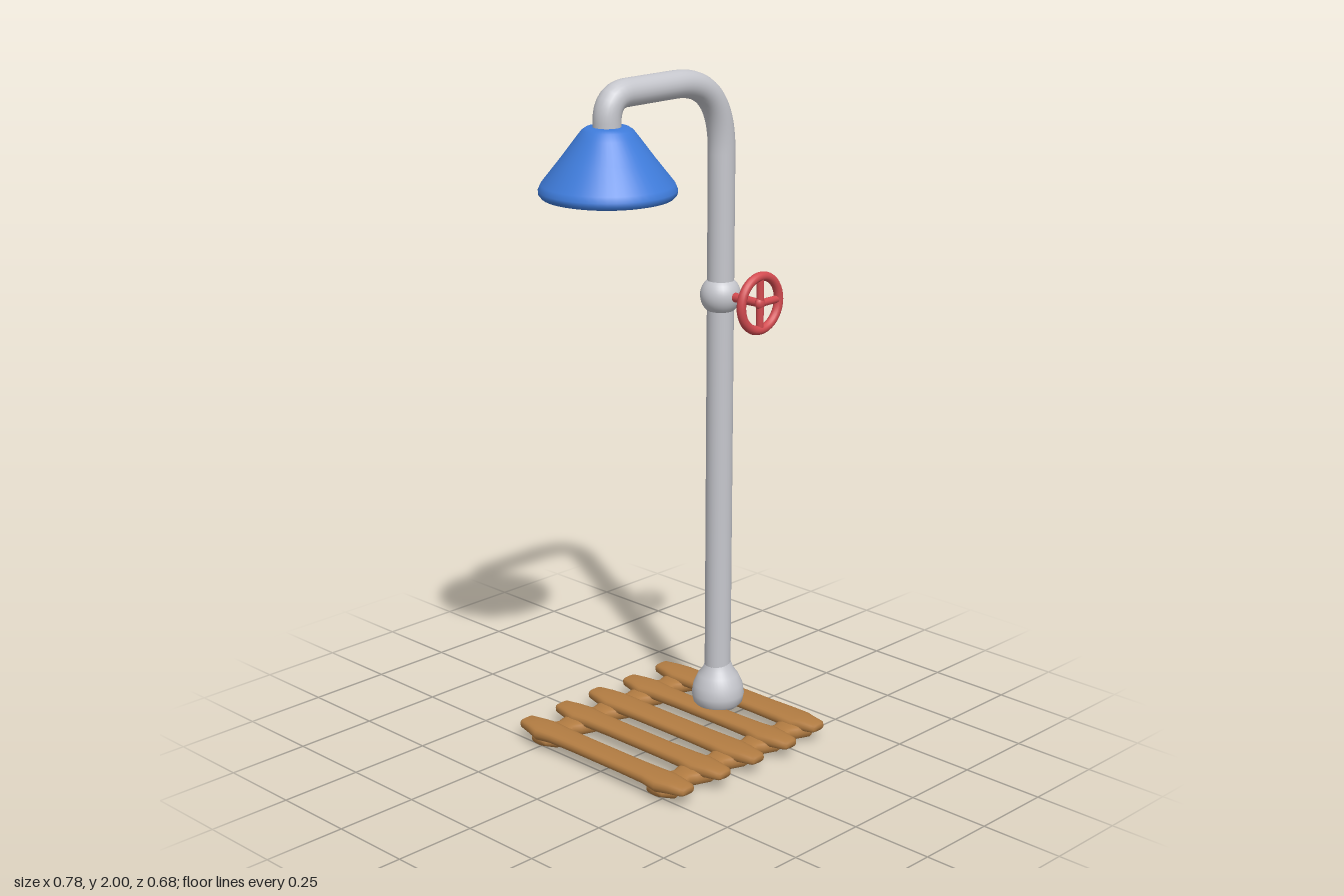
import * as THREE from 'three';

const V = (x, y, z = 0) => new THREE.Vector3(x, y, z);
const material = (name, color) => {
  const m = new THREE.MeshStandardMaterial({ color });
  m.name = name;
  return m;
};

// Smooth bar along z from stations [z, halfWidth, halfHeight, centreY]
function loft(stations, sides = 20) {
  const pos = [], index = [];
  const soft = (v) => Math.sign(v) * Math.abs(v) ** 0.75;
  stations.forEach(([z, w, h, y], i) => {
    for (let j = 0; j < sides; j++) {
      const a = (j / sides) * Math.PI * 2;
      pos.push(w * soft(Math.cos(a)), y + h * soft(Math.sin(a)), z);
      if (i === stations.length - 1) continue;
      const k = (j + 1) % sides, n = i * sides;
      index.push(n + j, n + k, n + sides + k, n + j, n + sides + k, n + sides + j);
    }
  });
  const g = new THREE.BufferGeometry();
  g.setAttribute('position', new THREE.Float32BufferAttribute(pos, 3));
  g.setIndex(index);
  g.computeVertexNormals();
  return g;
}

const lathe = (points, segments = 40) =>
  new THREE.LatheGeometry(points.map(([r, y]) => new THREE.Vector2(r, y)), segments);

export function createModel() {
  const model = new THREE.Group();
  model.name = 'outdoorShower';
  const wood = material('wood', 0xb27c42);
  const metal = material('metal', 0xc6c7cd);
  const blue = material('blue', 0x3f7cdb);
  const red = material('red', 0xd34b50);

  const add = (parent, name, geometry, mat, x = 0, y = 0, z = 0) => {
    const mesh = new THREE.Mesh(geometry, mat);
    mesh.name = name;
    mesh.position.set(x, y, z);
    parent.add(mesh);
    return mesh;
  };

  // Wooden platform: worn slats over two cross beams
  const platform = new THREE.Group();
  platform.name = 'platform';
  model.add(platform);
  // x, back end, front end, half width in the middle
  const slats = [
    [-0.235, -0.335, 0.337, 0.04], [-0.087, -0.34, 0.34, 0.038], [0.054, -0.343, 0.34, 0.043],
    [0.195, -0.336, 0.34, 0.036], [0.34, -0.338, 0.32, 0.044],
  ];
  slats.forEach(([x, back, front, w]) => {
    add(platform, 'slat', loft([
      [back, 0, 0, 0.052], [back, 0.022, 0.01, 0.052], [back + 0.008, 0.029, 0.015, 0.052],
      [back + 0.05, 0.038, 0.019, 0.051], [-0.245, 0.048, 0.022, 0.048], [-0.19, w + 0.002, 0.019, 0.051],
      [-0.1, w, 0.018, 0.051], [0.1, w, 0.018, 0.051],
      [0.19, w + 0.002, 0.019, 0.051], [0.245, 0.048, 0.022, 0.048], [front - 0.05, 0.038, 0.019, 0.051],
      [front - 0.008, 0.03, 0.015, 0.052], [front, 0.022, 0.01, 0.052], [front, 0, 0, 0.052],
    ]), wood, x);
  });
  // Beams swell under each slat and narrow in the gaps
  const beam = [[-0.272, 0, 0, 0.03], [-0.272, 0.03, 0.012, 0.03]];
  slats.forEach(([x], i) => {
    beam.push([x, 0.056, 0.026, 0.03]);
    const next = slats[i + 1];
    if (next) {
      const gap = next[0] - x;
      beam.push([x + gap * 0.35, 0.044, 0.022, 0.032], [x + gap * 0.5, 0.035, 0.02, 0.034],
        [x + gap * 0.65, 0.044, 0.022, 0.032]);
    }
  });
  beam.push([0.388, 0.03, 0.012, 0.03], [0.388, 0, 0, 0.03]);
  for (const z of [-0.24, 0.238]) {
    add(platform, 'crossBeam', loft(beam), wood, 0, 0, z).rotation.y = Math.PI / 2;
  }

  // Bent standpipe
  const path = new THREE.CurvePath();
  path.add(new THREE.LineCurve3(V(0.242, 0.1), V(0.242, 1.75)));
  path.add(new THREE.QuadraticBezierCurve3(V(0.242, 1.75), V(0.242, 1.961), V(0.05, 1.961)));
  path.add(new THREE.LineCurve3(V(0.05, 1.961), V(-0.135, 1.961)));
  path.add(new THREE.QuadraticBezierCurve3(V(-0.135, 1.961), V(-0.207, 1.961), V(-0.207, 1.89)));
  path.add(new THREE.LineCurve3(V(-0.207, 1.89), V(-0.207, 1.86)));
  add(model, 'pipe', new THREE.TubeGeometry(path, 150, 0.039, 24), metal);

  // Rounded foot and valve body on the pipe
  add(model, 'pipeFoot', lathe([
    [0, 0.06], [0.06, 0.06], [0.074, 0.075], [0.079, 0.1], [0.074, 0.13],
    [0.06, 0.16], [0.046, 0.178], [0.038, 0.2],
  ]), metal, 0.244);
  add(model, 'valveBody', new THREE.SphereGeometry(0.059, 28, 20), metal, 0.242, 1.335);

  // Hand wheel with three spokes
  const wheel = new THREE.Group();
  wheel.name = 'handWheel';
  wheel.position.set(0.242, 1.337, 0.153);
  model.add(wheel);
  add(wheel, 'wheelRim', new THREE.TorusGeometry(0.078, 0.0135, 14, 40), red);
  [0, Math.PI / 2, -Math.PI / 2].forEach((a) => {
    const spoke = add(wheel, 'spoke', new THREE.CylinderGeometry(0.011, 0.011, 0.078, 12), red,
      Math.cos(a) * 0.039, Math.sin(a) * 0.039);
    spoke.rotation.z = a - Math.PI / 2;
  });
  add(wheel, 'hub', new THREE.SphereGeometry(0.018, 16, 12), red).scale.z = 0.7;
  add(wheel, 'stem', new THREE.CylinderGeometry(0.012, 0.014, 0.11, 16), red, 0, 0, -0.055).rotation.x = Math.PI / 2;

  // Shower head: closed cone with a rounded rim
  add(model, 'showerHead', lathe([
    [0, 1.692], [0.12, 1.69], [0.168, 1.685], [0.18, 1.688], [0.188, 1.697], [0.189, 1.708],
    [0.182, 1.724], [0.13, 1.79], [0.085, 1.85], [0.07, 1.869], [0.058, 1.877], [0, 1.88],
  ], 48), blue, -0.205);

  return model;
}
